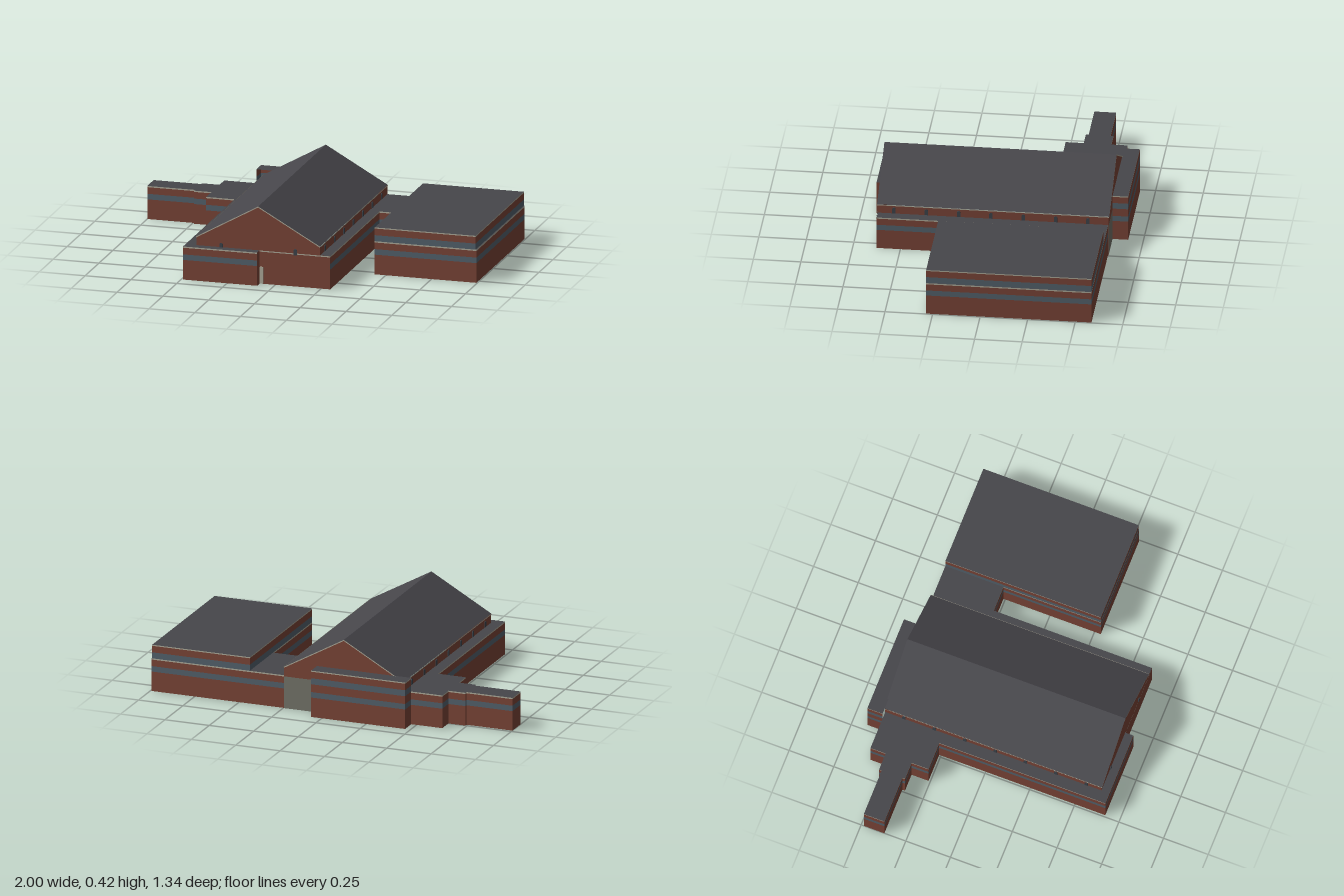
import * as THREE from 'three';

export function createModel() {
  const group = new THREE.Group();
  const mat = (name, color) => {
    const m = new THREE.MeshStandardMaterial({ color, side: THREE.DoubleSide });
    m.name = name;
    return m;
  };
  const brick = mat('brick', 0x7b4537);
  const roof = mat('roof slate', 0x47464b);
  const glass = mat('window band', 0x54626d);
  const trim = mat('pale trim', 0xaeab9a);
  const concrete = mat('grey panel', 0x75746a);
  const dark = mat('dark window', 0x3d444c);

  // Flat polygons, each a fan of corner points, merged into one mesh
  const faces = (name, material, polys) => {
    const pos = [];
    for (const p of polys) {
      for (let i = 1; i < p.length - 1; i++) pos.push(...p[0], ...p[i], ...p[i + 1]);
    }
    const g = new THREE.BufferGeometry();
    g.setAttribute('position', new THREE.Float32BufferAttribute(pos, 3));
    g.computeVertexNormals();
    const mesh = new THREE.Mesh(g, material);
    mesh.name = name;
    group.add(mesh);
  };

  // Upright wall along a plan path of [x, z] points
  const wall = (name, material, path, y0, y1) => {
    const polys = [];
    for (let i = 0; i < path.length - 1; i++) {
      const [ax, az] = path[i], [bx, bz] = path[i + 1];
      polys.push([[ax, y0, az], [ax, y1, az], [bx, y1, bz], [bx, y0, bz]]);
    }
    faces(name, material, polys);
  };

  // Wall stacked from bands: [material, label, top height]
  const bandedWall = (name, path, y0, bands) => {
    for (const [m, label, top] of bands) {
      wall(name + label, m, path, y0, top);
      y0 = top;
    }
  };

  const flatRoof = (name, y, rects) => faces(name, roof, rects.map(([x0, x1, z0, z1]) =>
    [[x0, y, z0], [x0, y, z1], [x1, y, z1], [x1, y, z0]]));

  const low = [[brick, 'Base', 0.107], [glass, 'WindowBand', 0.137],
    [brick, 'Parapet', 0.173], [trim, 'Trim', 0.18]];
  const high = [[glass, 'UpperWindowBand', 0.213], [brick, 'UpperParapet', 0.249],
    [trim, 'UpperTrim', 0.255]];

  // Low west range with its stepped wing
  bandedWall('westRange', [
    [-0.49, 0.67], [-0.49, -0.26], [-0.645, -0.26], [-0.645, -0.355], [-0.74, -0.355],
    [-0.74, -0.37], [-1, -0.37], [-1, -0.485], [-0.74, -0.485], [-0.74, -0.5],
    [-0.645, -0.5], [-0.645, -0.585], [-0.43, -0.585]], 0, low);
  bandedWall('frontAnnex', [[-0.085, 0.67], [-0.49, 0.67]], 0, low);
  wall('annexSide', brick, [[-0.085, 0.625], [-0.085, 0.67]], 0, 0.18);

  // Low east range, connector and base of the east block
  bandedWall('eastRange', [
    [0.245, -0.585], [0.995, -0.585], [0.995, 0.285], [0.44, 0.285],
    [0.44, -0.26], [0.3, -0.26], [0.3, 0.625]], 0, low);
  wall('eastRangeFront', brick, [[0.3, 0.625], [0.245, 0.625]], 0, 0.18);
  wall('eastBlockInnerWall', brick, [[0.44, -0.26], [0.44, -0.585]], 0, 0.18);

  // Raised storey of the east block
  bandedWall('eastBlock', [
    [0.44, 0.285], [0.44, -0.585], [0.99, -0.585], [0.99, 0.285], [0.44, 0.285]], 0.18, high);

  // Tall block behind the hall
  bandedWall('backBlock', [[-0.47, -0.585], [-0.47, -0.67], [0.06, -0.67], [0.06, -0.585]],
    0, [...low.slice(0, 2), [brick, 'Middle', 0.18], ...high]);

  flatRoof('lowRoofs', 0.18, [
    [-0.49, -0.43, -0.585, 0.67], [-0.43, -0.085, 0.625, 0.67],
    [-0.645, -0.49, -0.585, -0.26], [-0.74, -0.645, -0.5, -0.355],
    [-1, -0.74, -0.485, -0.37], [0.245, 0.3, -0.585, 0.625],
    [0.3, 0.44, -0.585, -0.26], [0.99, 0.995, -0.585, 0.285]]);
  flatRoof('highRoofs', 0.255, [[0.44, 0.99, -0.585, 0.285], [-0.47, 0.06, -0.67, -0.585]]);

  // Gabled hall
  const X0 = -0.43, X1 = 0.245, XM = -0.0925, ZF = 0.625, ZB = -0.588, EAVE = 0.226, TOP = 0.416;
  wall('hallWestWall', brick, [[X0, ZF], [X0, ZB]], 0, EAVE);
  wall('hallEastWall', brick, [[X1, ZB], [X1, ZF]], 0, EAVE);
  wall('hallBackPanel', concrete, [[X0, ZB], [X1, ZB]], 0, 0.175);
  faces('hallGables', brick, [
    [[X0, 0, ZF], [X1, 0, ZF], [X1, EAVE, ZF], [XM, TOP, ZF], [X0, EAVE, ZF]],
    [[X1, 0.175, ZB], [X0, 0.175, ZB], [X0, EAVE, ZB], [XM, TOP, ZB], [X1, EAVE, ZB]]]);
  const zf = ZF + 0.004, zb = ZB - 0.004, lift = 0.003;
  const ridge = TOP + lift, eave = EAVE + lift;
  faces('hallRoof', roof, [
    [[X0, eave, zb], [X0, eave, zf], [XM, ridge, zf], [XM, ridge, zb]],
    [[X1, eave, zf], [X1, eave, zb], [XM, ridge, zb], [XM, ridge, zf]]]);

  // Thin pale edging on the gables and eaves
  const rake = (x, z) => [[x, eave, z], [XM, ridge, z], [XM, ridge - 0.006, z], [x, eave - 0.006, z]];
  faces('gableEdging', trim, [rake(X0, zf), rake(X1, zf), rake(X0, zb), rake(X1, zb)]);
  wall('westEaveEdging', trim, [[X0 - 0.002, zf], [X0 - 0.002, zb]], eave - 0.005, eave);
  wall('eastEaveEdging', trim, [[X1 + 0.002, zb], [X1 + 0.002, zf]], eave - 0.005, eave);
  wall('hallFrontTrim', trim, [[0.3, ZF + 0.002], [-0.085, ZF + 0.002]], 0.174, 0.18);

  // Small arched windows
  const arch = new THREE.Shape();
  arch.moveTo(-0.009, 0);
  arch.lineTo(0.009, 0);
  arch.lineTo(0.009, 0.024);
  arch.absarc(0, 0.024, 0.009, 0, Math.PI, false);
  arch.closePath();
  const archGeo = new THREE.ExtrudeGeometry(arch, { depth: 0.008, bevelEnabled: false, curveSegments: 6 });
  archGeo.translate(0, 0, -0.004);
  const addWindow = (name, x, y, z, turn) => {
    const w = new THREE.Mesh(archGeo, dark);
    w.name = name;
    w.position.set(x, y, z);
    w.rotation.y = turn;
    group.add(w);
  };
  for (let i = 0; i < 7; i++) {
    const z = 0.54 - i * 0.17;
    addWindow('hallWestWindow', X0, 0.182, z, Math.PI / 2);
    addWindow('hallEastWindow', X1, 0.182, z, Math.PI / 2);
  }
  for (const x of [-0.295, 0.11]) addWindow('hallFrontWindow', x, 0.17, ZF, 0);

  // Entrance door beside the annex
  const door = new THREE.Mesh(new THREE.BoxGeometry(0.018, 0.09, 0.008), trim);
  door.name = 'entranceDoor';
  door.position.set(-0.074, 0.047, ZF + 0.004);
  group.add(door);

  return group;
}
